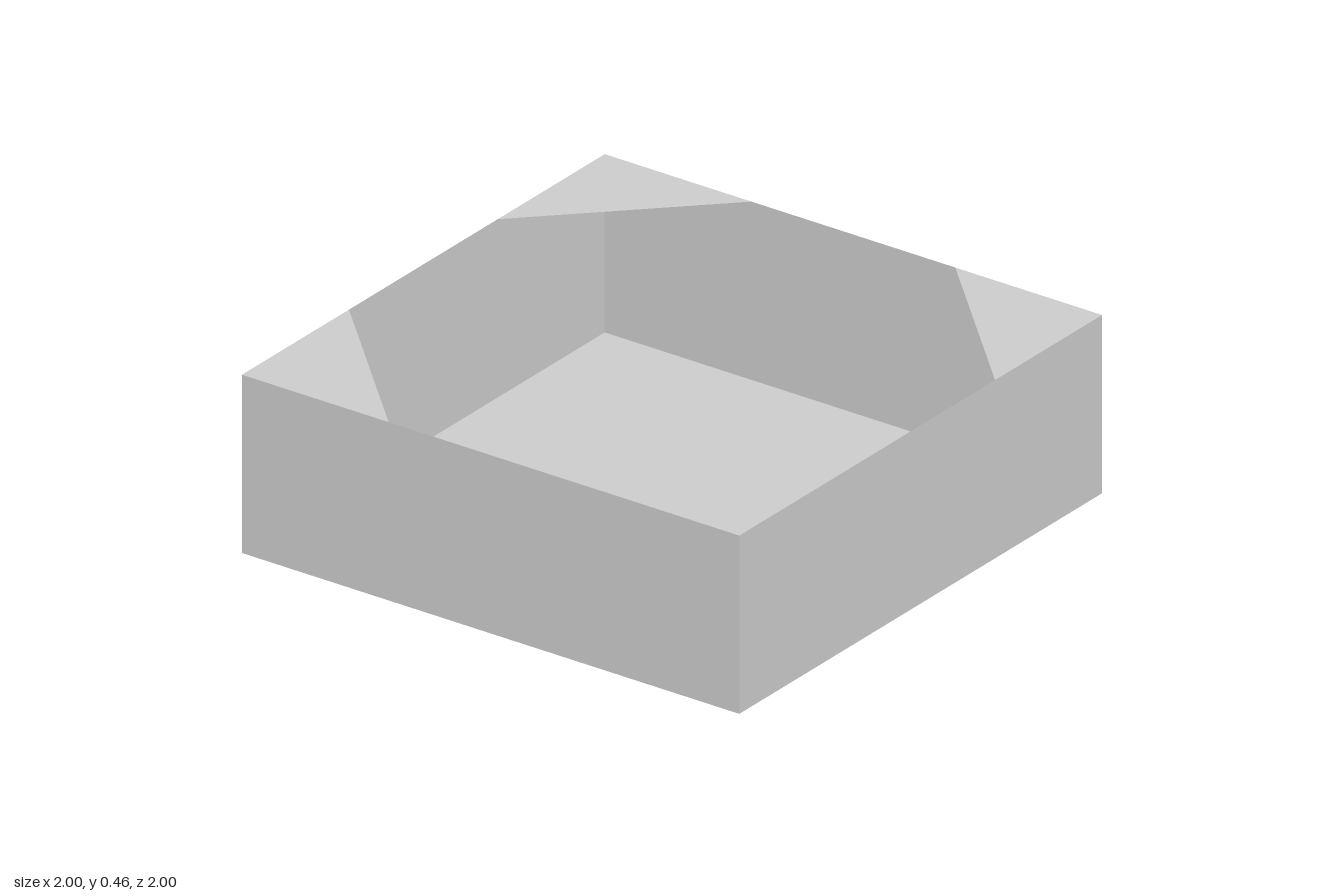
import * as THREE from 'three';

const HEIGHT = 0.457;
const GUSSET = 0.295; // depth of each corner triangle

export function createModel() {
  const group = new THREE.Group();
  const material = new THREE.MeshStandardMaterial({
    color: 0xcccccc, flatShading: true, side: THREE.DoubleSide,
  });

  const add = (name, geometry) => {
    const mesh = new THREE.Mesh(geometry, material);
    mesh.name = name;
    group.add(mesh);
    return mesh;
  };

  // Four thin walls, with corners on the x and z axes
  add('walls', new THREE.CylinderGeometry(1, 1, HEIGHT, 4, 1, true).translate(0, HEIGHT / 2, 0));

  // Thin square floor
  add('floor', new THREE.CircleGeometry(1, 4).rotateX(-Math.PI / 2));

  // Flat triangles bracing the top corners
  const triangle = new THREE.Shape([
    new THREE.Vector2(1, 0),
    new THREE.Vector2(1 - GUSSET, GUSSET),
    new THREE.Vector2(1 - GUSSET, -GUSSET),
  ]);
  const gusset = new THREE.ShapeGeometry(triangle).rotateX(-Math.PI / 2).translate(0, HEIGHT, 0);
  ['left', 'back', 'right', 'front'].forEach((side, i) => {
    add(`${side}CornerGusset`, gusset).rotation.y = i * Math.PI / 2;
  });

  return group;
}
